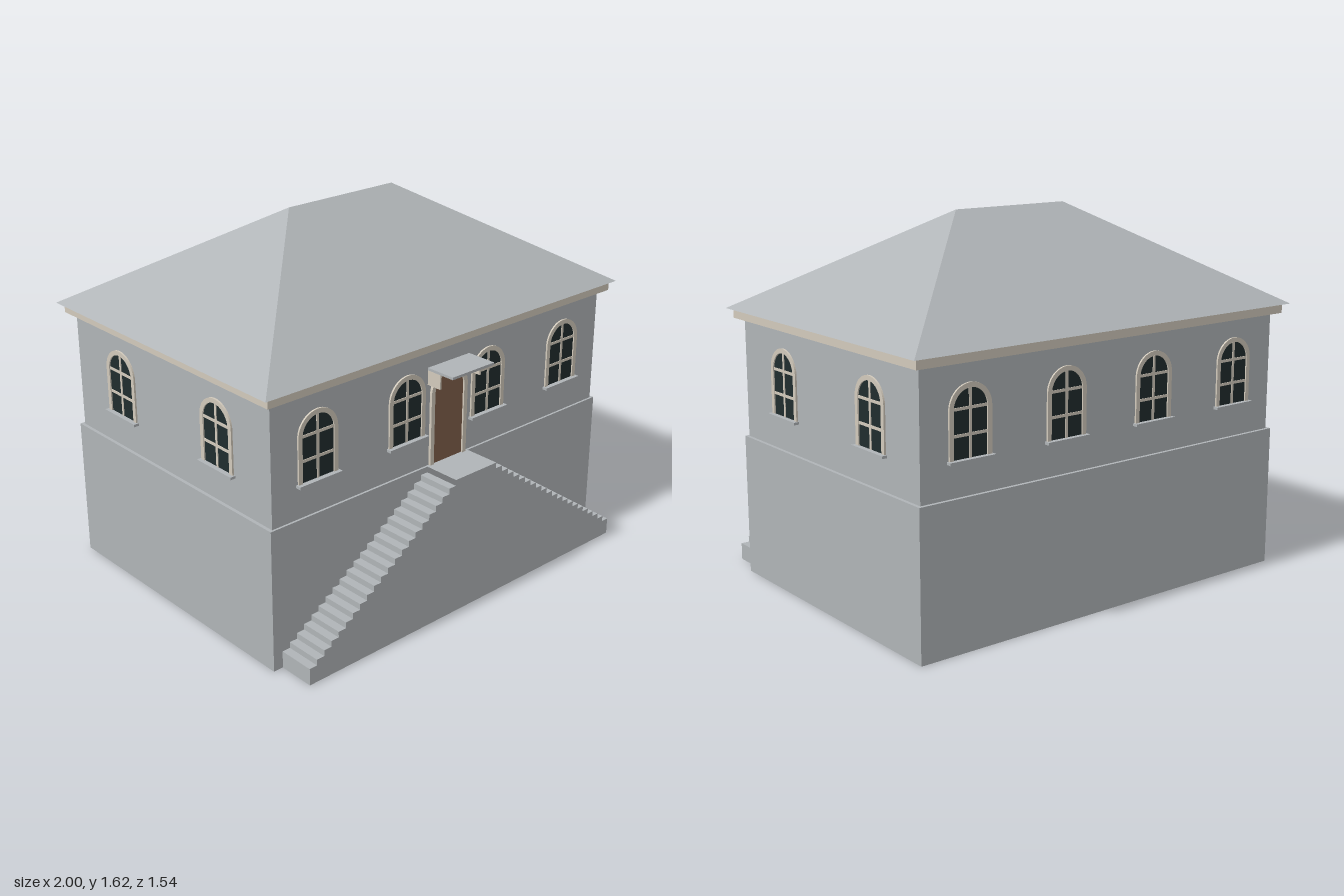
import * as THREE from 'three';

const mat = (name, color, side = THREE.FrontSide) => {
  const m = new THREE.MeshStandardMaterial({ color, side });
  m.name = name;
  return m;
};

// Round-headed outline standing on y = 0, with its arch springing at height s
function archPath(PathType, hw, s) {
  const p = new PathType();
  p.moveTo(-hw, 0);
  p.lineTo(hw, 0);
  p.lineTo(hw, s);
  p.absarc(0, s, hw, 0, Math.PI, false);
  p.lineTo(-hw, 0);
  return p;
}

// Flat arched surround: outer arch minus inner arch, open at the foot
function surroundShape(outer, inner, s) {
  const p = new THREE.Shape();
  p.moveTo(inner, 0);
  p.lineTo(outer, 0);
  p.lineTo(outer, s);
  p.absarc(0, s, outer, 0, Math.PI, false);
  p.lineTo(-outer, 0);
  p.lineTo(-inner, 0);
  p.lineTo(-inner, s);
  p.absarc(0, s, inner, Math.PI, 0, true);
  p.lineTo(inner, 0);
  return p;
}

const extrude = (shape, depth) =>
  new THREE.ExtrudeGeometry(shape, { depth, bevelEnabled: false, curveSegments: 16 });

export function createModel() {
  const house = new THREE.Group();
  house.name = 'house';
  const grey = mat('grey stone', 0xb0b4b7);
  const greyOpen = mat('grey stone shell', 0xb0b4b7, THREE.DoubleSide);
  const cream = mat('cream trim', 0xd2cabc);
  const glass = mat('dark glass', 0x202c2e);
  const brown = mat('brown door', 0x805f4b);

  const add = (parent, name, geometry, material, x = 0, y = 0, z = 0) => {
    const m = new THREE.Mesh(geometry, material);
    m.name = name;
    m.position.set(x, y, z);
    parent.add(m);
    return m;
  };
  // Box given by its limits
  const box = (parent, name, material, x0, x1, y0, y1, z0, z1) =>
    add(parent, name, new THREE.BoxGeometry(x1 - x0, y1 - y0, z1 - z0), material,
      (x0 + x1) / 2, (y0 + y1) / 2, (z0 + z1) / 2);

  // Ground storey: a shell open underneath
  const base = box(house, 'groundStorey', greyOpen, -0.955, 0.955, 0, 0.625, -0.725, 0.605);
  const idx = Array.from(base.geometry.index.array);
  idx.splice(18, 6);
  base.geometry.setIndex(idx);
  base.geometry.clearGroups();

  // Upper storey and cornice
  box(house, 'upperStorey', grey, -0.94, 0.94, 0.625, 1.15, -0.71, 0.595);
  box(house, 'cornice', cream, -0.975, 0.975, 1.148, 1.19, -0.745, 0.63);

  // Hipped roof
  const e = 1.19;
  const roof = new THREE.BufferGeometry();
  roof.setAttribute('position', new THREE.Float32BufferAttribute([
    -1, e, 0.65, 1, e, 0.65, 1, e, -0.77, -1, e, -0.77,
    -0.29, 1.625, -0.06, 0.29, 1.625, -0.06], 3));
  roof.setIndex([0, 1, 5, 0, 5, 4, 1, 2, 5, 2, 3, 4, 2, 4, 5, 3, 0, 4, 0, 3, 2, 0, 2, 1]);
  const flatRoof = roof.toNonIndexed();
  flatRoof.computeVertexNormals();
  add(house, 'roof', flatRoof, grey);

  // Arched windows: glass, glazing bars, surround and sill
  const spring = 0.195;
  const glassGeo = extrude(archPath(THREE.Shape, 0.082, spring), 0.002);
  const surroundGeo = extrude(surroundShape(0.1, 0.08, spring), 0.008);
  const addWindow = (x, z, angle) => {
    const w = new THREE.Group();
    w.name = 'window';
    add(w, 'pane', glassGeo, glass);
    add(w, 'surround', surroundGeo, cream);
    box(w, 'verticalBar', cream, -0.006, 0.006, 0, 0.274, 0, 0.005);
    for (const y of [0.095, 0.198])
      box(w, 'horizontalBar', cream, -0.08, 0.08, y - 0.006, y + 0.006, 0, 0.005);
    box(w, 'sill', grey, -0.108, 0.108, -0.008, 0.003, 0, 0.024);
    w.position.set(x, 0.77, z);
    w.rotation.y = angle;
    house.add(w);
  };
  for (const x of [-0.71, -0.236, 0.236, 0.71]) {
    addWindow(x, 0.595, 0);
    addWindow(x, -0.71, Math.PI);
  }
  for (const z of [0.267, -0.387])
    for (const s of [-1, 1]) addWindow(s * 0.94, z, s * Math.PI / 2);

  // Entrance door with surround
  const entrance = new THREE.Group();
  entrance.name = 'entrance';
  entrance.position.set(0, 0.625, 0.595);
  house.add(entrance);
  add(entrance, 'door', extrude(archPath(THREE.Shape, 0.087, 0.315), 0.004), brown);
  add(entrance, 'doorSurround', extrude(surroundShape(0.105, 0.085, 0.315), 0.012), cream);

  // Canopy on two thin brackets
  box(house, 'canopy', grey, -0.12, 0.12, 1.054, 1.065, 0.595, 0.735);
  for (const s of [-1, 1])
    box(house, 'canopyBracket', cream, s * 0.115 - 0.004, s * 0.115 + 0.004, 0.99, 1.054, 0.595, 0.665);

  // Two mirrored flights of steps meeting at the landing
  const steps = 21, run = 0.79 / steps, rise = 0.55 / steps;
  for (const s of [-1, 1]) {
    const flight = new THREE.Shape();
    flight.moveTo(s * 0.12, 0);
    flight.lineTo(s * 0.91, 0);
    for (let i = 0; i < steps; i++) {
      const y = 0.075 + i * rise;
      flight.lineTo(s * (0.91 - i * run), y);
      flight.lineTo(s * (0.91 - (i + 1) * run), y);
    }
    add(house, s > 0 ? 'leftStair' : 'rightStair', extrude(flight, 0.17), grey, 0, 0, 0.6);
  }

  // Landing: top and front slabs between the flights, hollow below
  const top = add(house, 'landingTop', new THREE.PlaneGeometry(0.24, 0.165), greyOpen, 0, 0.625, 0.6875);
  top.rotation.x = -Math.PI / 2;
  add(house, 'landingFront', new THREE.PlaneGeometry(0.24, 0.625), greyOpen, 0, 0.3125, 0.77);

  return house;
}
